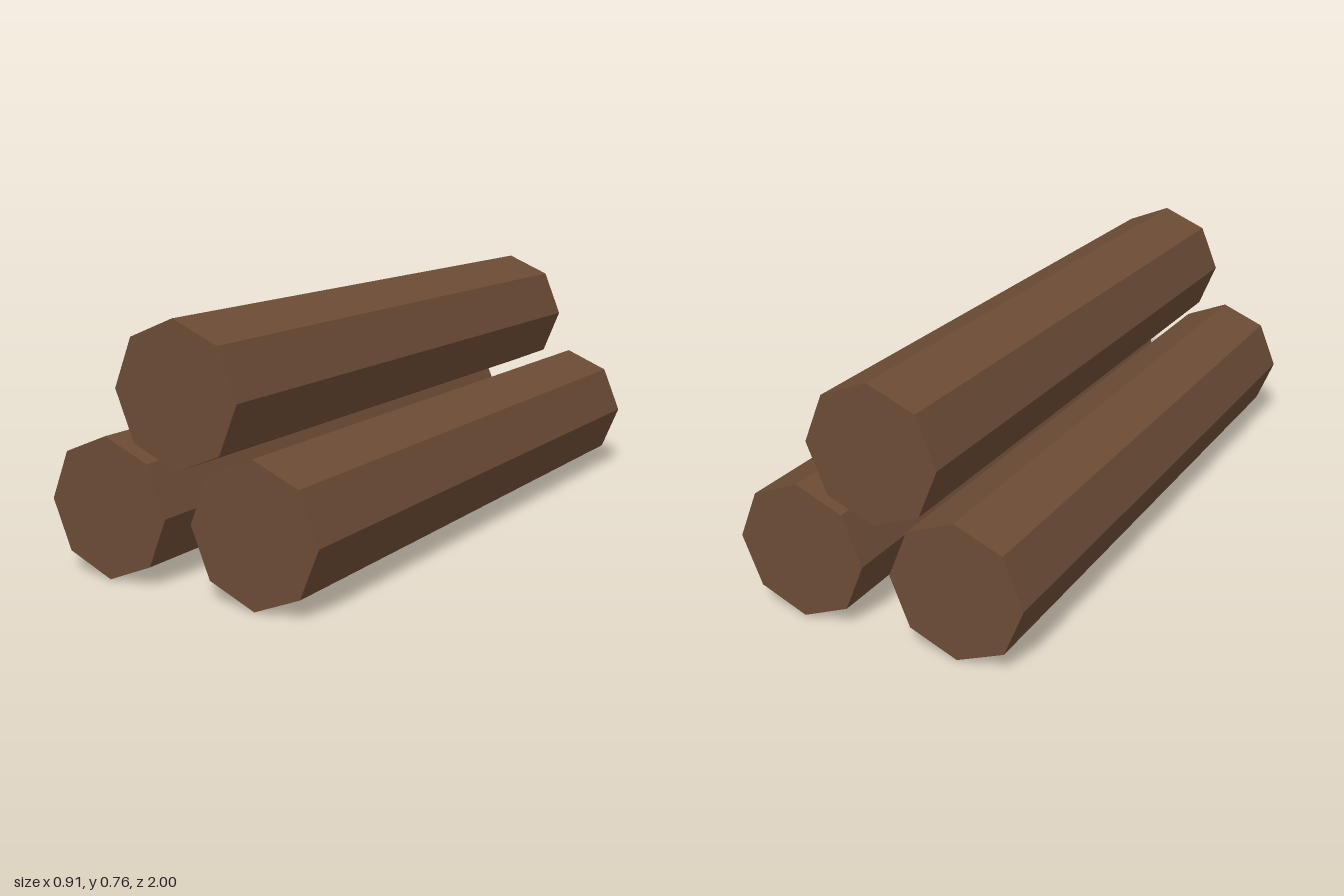
import * as THREE from 'three';

export function createModel() {
  const group = new THREE.Group();
  group.name = 'logPile';

  const wood = new THREE.MeshStandardMaterial({ color: 0x6b4b35, flatShading: true });
  wood.name = 'brown wood';

  // Eight-sided log lying along z, with a corner at the top
  const radius = 0.206;
  const logGeometry = new THREE.CylinderGeometry(radius, radius, 2, 8).rotateX(Math.PI / 2);

  // Two logs on the ground and one resting above them
  const logs = [
    ['leftLog', 0.25, radius],
    ['rightLog', -0.25, radius],
    ['topLog', 0, 0.551],
  ];
  for (const [name, x, y] of logs) {
    const log = new THREE.Mesh(logGeometry, wood);
    log.name = name;
    log.position.set(x, y, 0);
    group.add(log);
  }
  return group;
}
